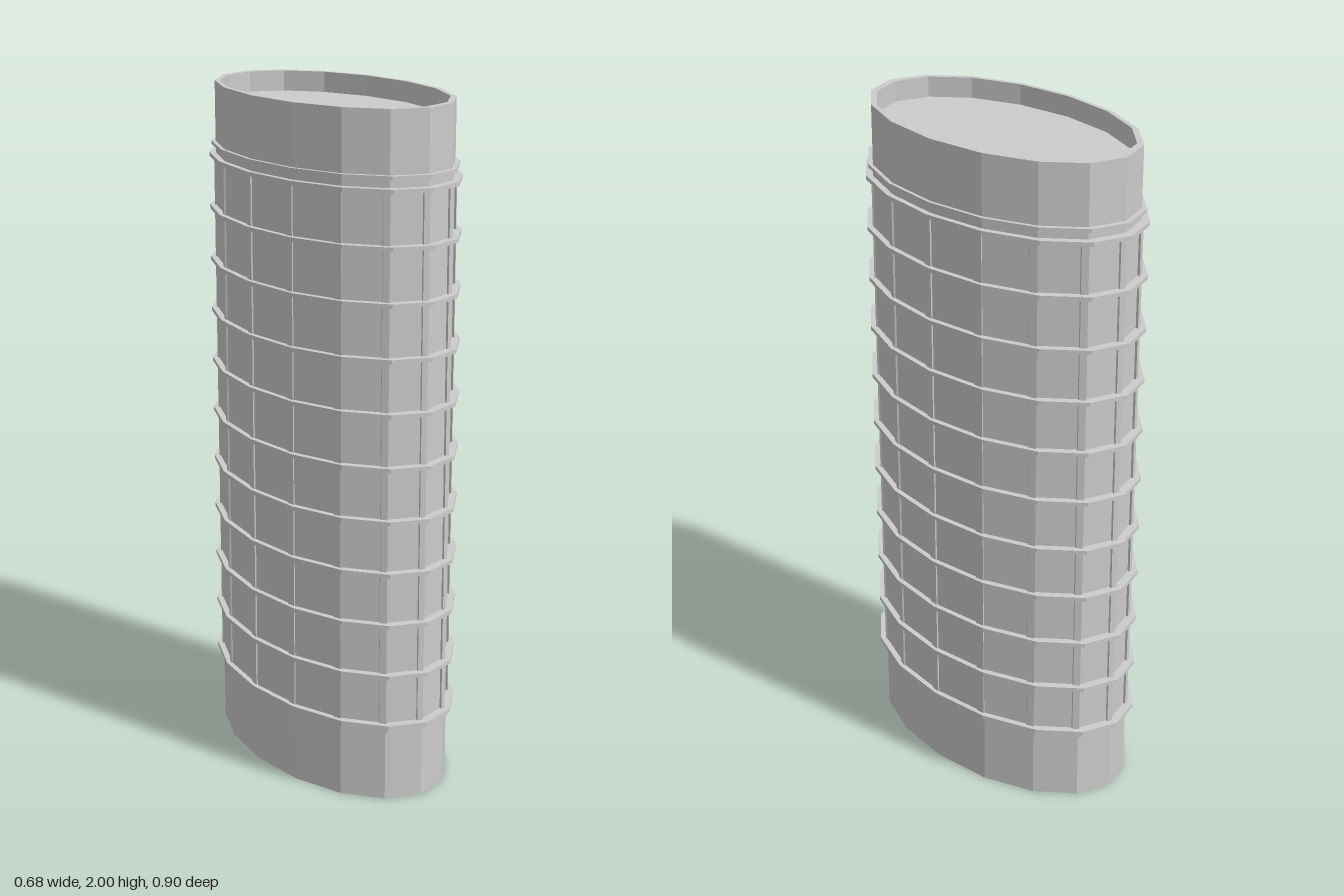
import * as THREE from 'three';

const SIDES = 16;
const STEP = (Math.PI * 2) / SIDES;

// Turns a unit circle in plan into the slanted oval plan of the tower.
const OVAL = new THREE.Matrix4().set(
  0.32, 0, 0.12, 0,
  0, 1, 0, 0,
  0.04, 0, 0.45, 0,
  0, 0, 0, 1
);

const material = new THREE.MeshStandardMaterial({
  color: 0xcccccc, flatShading: true, side: THREE.DoubleSide,
});

function ovalMesh(name, geometry) {
  geometry.applyMatrix4(OVAL);
  geometry.computeVertexNormals();
  const mesh = new THREE.Mesh(geometry, material);
  mesh.name = name;
  return mesh;
}

// Profile of [plan scale, height] pairs swept round the oval.
function sweep(name, profile) {
  const points = profile.map(([r, y]) => new THREE.Vector2(r, y));
  return ovalMesh(name, new THREE.LatheGeometry(points, SIDES));
}

function ring(name, y, radius, height) {
  const a = y - height / 2, b = y + height / 2;
  return sweep(name, [[0.93, a], [radius, a], [radius, b], [0.93, b]]);
}

export function createModel() {
  const model = new THREE.Group();
  model.name = 'ovalTower';

  // Wall with a hollow foot and a recessed roof behind a parapet
  model.add(sweep('towerWall', [
    [0, 0.23], [0.938, 0.23], [0.938, 0], [0.945, 0],
    [0.945, 2], [0.9, 2], [0.9, 1.94], [0, 1.94],
  ]));

  // Floor bands, with a slimmer trim above and below
  const bands = new THREE.Group();
  bands.name = 'floorBands';
  for (let i = 0; i <= 10; i++) {
    bands.add(ring('floorBand', 0.235 + i * 0.155, 1, 0.012));
  }
  bands.add(ring('lowerTrim', 0.223, 0.98, 0.014));
  bands.add(ring('upperTrim', 1.82, 0.98, 0.01));
  model.add(bands);

  // Thin upright strips beside each corner of the wall
  const strips = new THREE.Group();
  strips.name = 'uprightStrips';
  const width = 0.055, depth = 0.03;
  const apothem = 0.945 * Math.cos(STEP / 2);
  const halfSide = 0.945 * Math.sin(STEP / 2);
  for (let k = 0; k < SIDES; k++) {
    const strip = new THREE.BoxGeometry(width, 1.55, depth);
    strip.translate(halfSide - width / 2, 1.01, apothem);
    strip.rotateY((k - 0.5) * STEP);
    strips.add(ovalMesh('uprightStrip', strip));
  }
  model.add(strips);

  return model;
}
